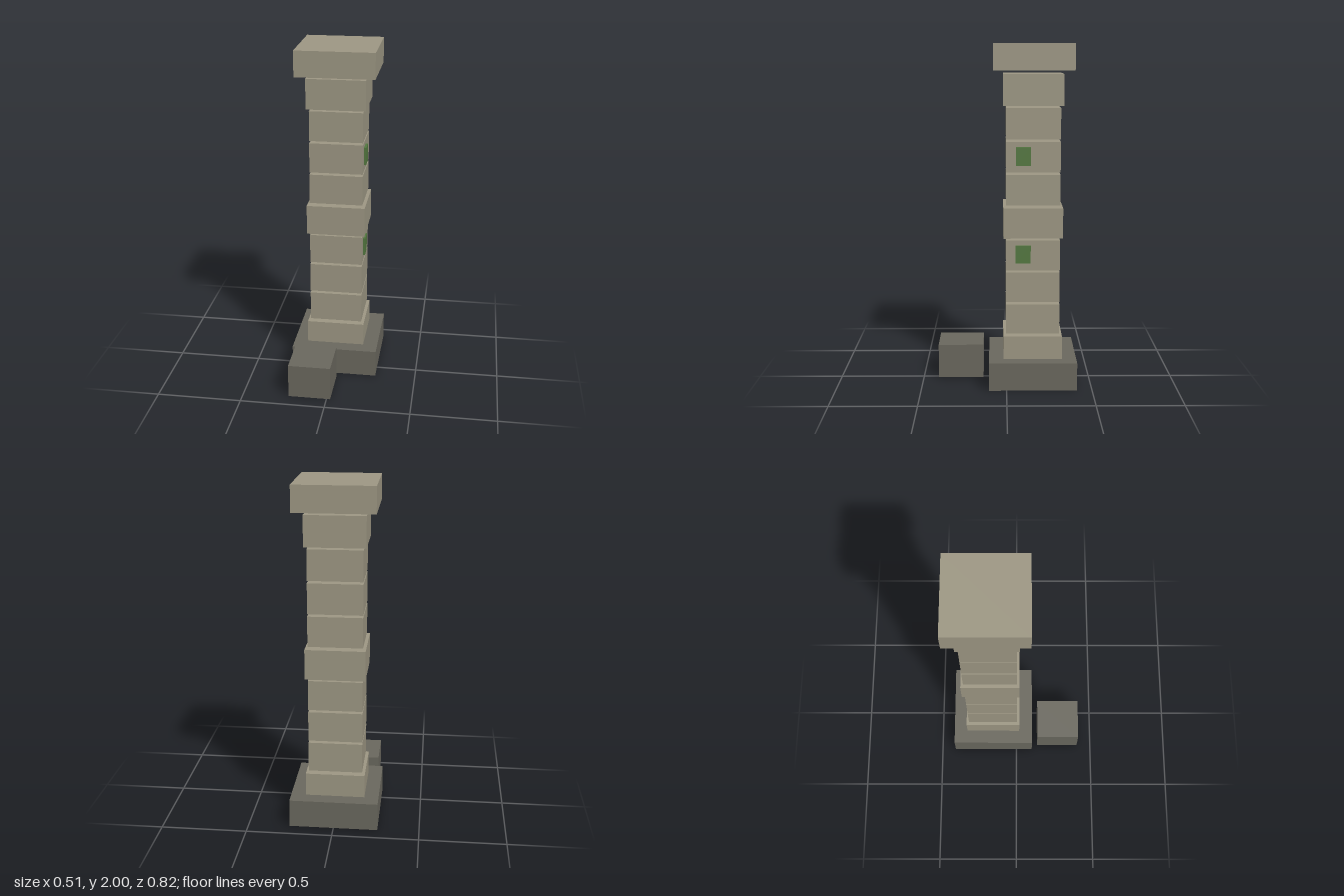
import * as THREE from 'three';

const stone = new THREE.MeshStandardMaterial({ name: 'paleStone', color: 0x9f9985 });
const darkStone = new THREE.MeshStandardMaterial({ name: 'darkStone', color: 0x6b695f });
const moss = new THREE.MeshStandardMaterial({ name: 'moss', color: 0x557a41 });

const AXIS_Z = -0.154; // centre line of the pillar

export function createModel() {
  const model = new THREE.Group();
  model.name = 'stonePillar';

  const block = (name, material, [w, h, d], [x, y, z]) => {
    const mesh = new THREE.Mesh(new THREE.BoxGeometry(w, h, d), material);
    mesh.name = name;
    mesh.position.set(x, y, z);
    model.add(mesh);
  };

  // Plinth and the loose block lying in front of it
  block('plinth', darkStone, [0.515, 0.165, 0.515], [0, 0.0825, AXIS_Z]);
  block('fallenBlock', darkStone, [0.25, 0.205, 0.27], [-0.103, 0.1025, 0.274]);

  // Shaft: nine separate courses, every fourth one wider
  for (let i = 0; i < 9; i++) {
    const width = i % 4 === 0 ? 0.345 : 0.313;
    block(`shaftCourse${i + 1}`, stone, [width, 0.177, width], [-0.002, 0.213 + i * 0.191, AXIS_Z]);
  }

  // Capital
  block('capital', stone, [0.459, 0.15, 0.459], [-0.001, 1.925, AXIS_Z]);

  // Moss patches on the +x face
  [0.793, 1.364].forEach((y, i) =>
    block(`mossPatch${i + 1}`, moss, [0.03, 0.106, 0.087], [0.153, y, -0.097]));

  return model;
}
